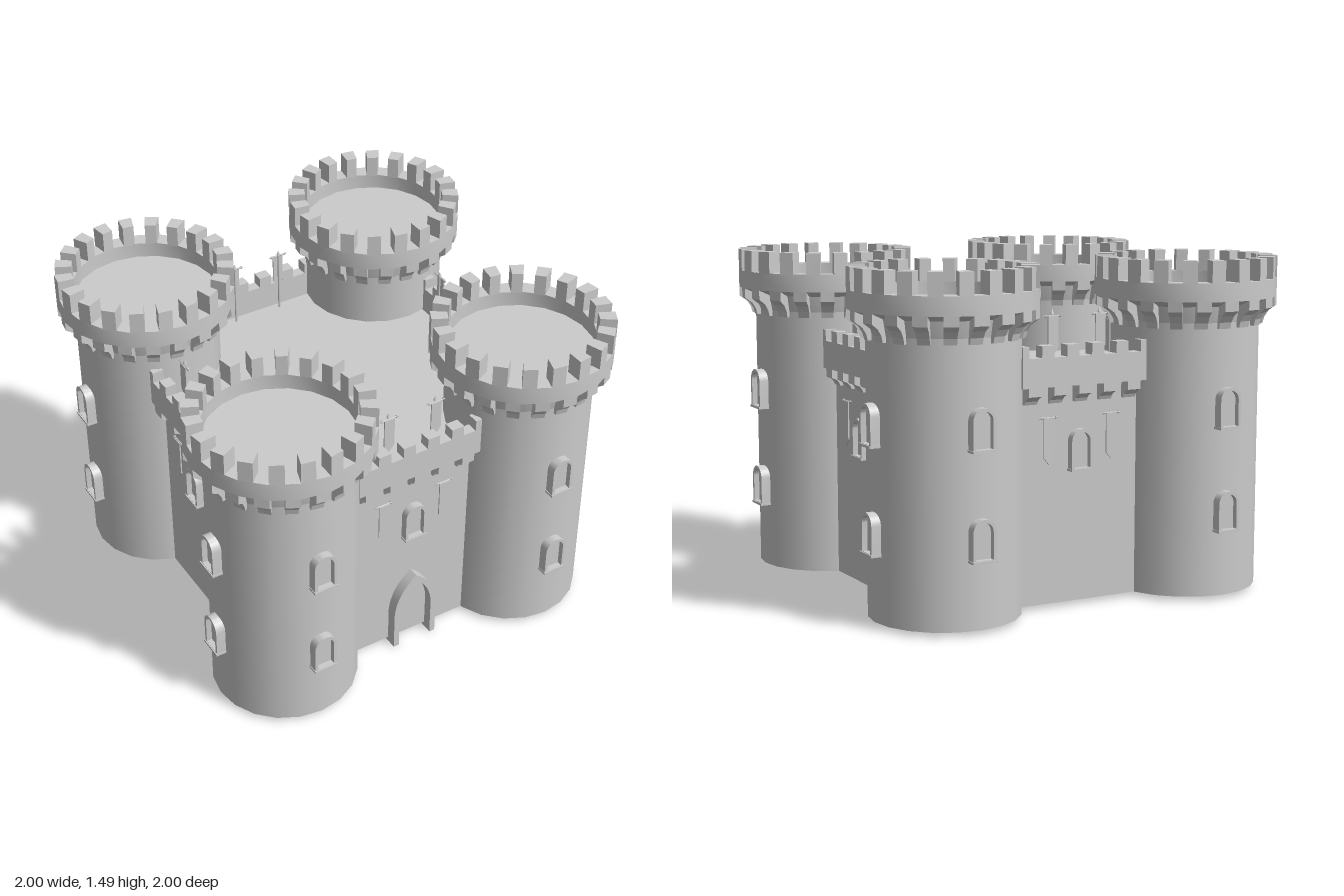
import * as THREE from 'three';
import { toCreasedNormals } from 'three/addons/utils/BufferGeometryUtils.js';

const stone = new THREE.MeshStandardMaterial({ color: 0xcccccc });
const thin = new THREE.MeshStandardMaterial({ color: 0xcccccc, side: THREE.DoubleSide });
const SIDES = 20, BASE = 0.02, TOWER_R = 0.325, RING_R = 0.4, WALL = 0.69;

function add(parent, name, geometry, x = 0, y = 0, z = 0, material = stone) {
  const mesh = new THREE.Mesh(geometry, material);
  mesh.name = name;
  mesh.position.set(x, y, z);
  parent.add(mesh);
  return mesh;
}
const box = (w, h, d) => new THREE.BoxGeometry(w, h, d);
const polygon = (pts) => new THREE.Shape(pts.map(([x, y]) => new THREE.Vector2(x, y)));
const extrude = (shape, depth) =>
  new THREE.ExtrudeGeometry(shape, { depth, bevelEnabled: false, curveSegments: 8 });

// Sweeps a (radius, height) profile over the part t0..t1 of one facet of the tower ring
function wedge(profile, facet, t0, t1) {
  const geo = extrude(polygon(profile), 1);
  const p = geo.attributes.position;
  const step = (Math.PI * 2) / SIDES, a = facet * step, b = a + step;
  for (let i = 0; i < p.count; i++) {
    const r = p.getX(i), t = t1 + (t0 - t1) * p.getZ(i);
    p.setXYZ(i,
      r * THREE.MathUtils.lerp(Math.sin(a), Math.sin(b), t),
      p.getY(i),
      r * THREE.MathUtils.lerp(Math.cos(a), Math.cos(b), t));
  }
  geo.computeVertexNormals();
  return geo;
}

// Round-headed opening outline standing on y = 0
function roundArch(Type, w, h, y0 = 0) {
  const s = new Type();
  s.moveTo(-w / 2, y0);
  s.lineTo(w / 2, y0);
  s.lineTo(w / 2, h - w / 2);
  s.absarc(0, h - w / 2, w / 2, 0, Math.PI, false);
  s.lineTo(-w / 2, y0);
  return s;
}

// Arched window: raised frame, recessed pane and sill, facing +z
function makeWindow() {
  const g = new THREE.Group();
  g.name = 'window';
  const outline = roundArch(THREE.Shape, 0.106, 0.18);
  outline.holes.push(roundArch(THREE.Path, 0.078, 0.166, 0.012));
  add(g, 'windowFrame', toCreasedNormals(extrude(outline, 0.06), 0.6), 0, 0, -0.025);
  add(g, 'windowPane', extrude(roundArch(THREE.Shape, 0.08, 0.168), 0.03), 0, 0, -0.02);
  add(g, 'windowSill', box(0.112, 0.01, 0.06), 0, 0.005, 0.01);
  return g;
}

// Narrow pennant with a pointed foot, hanging from a rod at y = 0
function makeBanner(length) {
  const g = new THREE.Group();
  g.name = 'banner';
  const w = 0.025;
  const cloth = polygon([[-w, 0], [-w, -length + 0.03], [0, -length], [w, -length + 0.03], [w, 0]].reverse());
  add(g, 'bannerCloth', extrude(cloth, 0.006), 0, 0, 0.002);
  const rod = new THREE.CylinderGeometry(0.004, 0.004, 0.08, 6).rotateZ(Math.PI / 2);
  add(g, 'bannerRod', rod);
  for (const s of [-1, 1]) {
    const tip = new THREE.ConeGeometry(0.007, 0.014, 6).rotateZ(-s * Math.PI / 2);
    add(g, 'rodTip', tip, s * 0.042, 0, 0);
  }
  return g;
}

// Round tower whose windows face +z and sideX
function makeTower(sideX) {
  const g = new THREE.Group();
  g.name = 'tower';
  const h = 1.32 - BASE;
  add(g, 'towerBody', new THREE.CylinderGeometry(TOWER_R, TOWER_R, h, SIDES, 1, true), 0, BASE + h / 2, 0, thin);
  add(g, 'towerRoof', new THREE.CircleGeometry(TOWER_R, SIDES).rotateX(-Math.PI / 2), 0, 1.32, 0, thin);

  // Parapet ring with its overhanging underside
  const ring = [[0.322, 1.2], [0.34, 1.285], [RING_R, 1.31], [RING_R, 1.39], [TOWER_R, 1.39], [TOWER_R, 1.3]];
  const ringGeo = new THREE.LatheGeometry(ring.map(([r, y]) => new THREE.Vector2(r, y)), SIDES);
  add(g, 'parapetRing', toCreasedNormals(ringGeo, 0.45), 0, 0, 0, thin);

  // Battlements above, curved corbels between them below
  const merlon = [[TOWER_R, 1.385], [RING_R, 1.385], [RING_R, 1.485], [TOWER_R, 1.485]];
  const corbel = [[0.315, 1.19], [0.342, 1.19], [0.349, 1.217], [0.367, 1.245], [RING_R, 1.268], [RING_R, 1.312], [0.315, 1.312]];
  for (let i = 0; i < SIDES; i++) {
    add(g, 'merlon', wedge(merlon, i, 0, 0.5));
    add(g, 'corbel', wedge(corbel, i, 0.5, 1));
  }

  for (const y of [0.305, 0.757]) {
    const front = makeWindow();
    front.position.set(0, y, TOWER_R);
    const side = makeWindow();
    side.position.set(sideX * TOWER_R, y, 0);
    side.rotation.y = sideX * Math.PI / 2;
    g.add(front, side);
  }
  return g;
}

// Dressing of one curtain wall, facing +z
function makeWallSide() {
  const g = new THREE.Group();
  g.name = 'wallSide';

  // Crenellated parapet: half merlons at the ends, four between
  const half = 0.305, period = 0.122, m = 0.03;
  const pts = [[-half, 0.965], [half, 0.965], [half, 1.14], [half - m, 1.14], [half - m, 1.09]];
  for (let i = 1; i <= 4; i++) {
    const c = half - i * period;
    pts.push([c + m, 1.09], [c + m, 1.14], [c - m, 1.14], [c - m, 1.09]);
  }
  pts.push([-half + m, 1.09], [-half + m, 1.14], [-half, 1.14]);
  add(g, 'parapet', extrude(polygon(pts), 0.053), 0, 0, 0.692);

  // Corbels under the parapet
  const profile = polygon([[0.68, 0.89], [0.703, 0.89], [0.71, 0.905], [0.723, 0.918], [0.745, 0.928], [0.745, 0.966], [0.68, 0.966]]);
  for (let i = -2; i <= 2; i++) {
    const geo = extrude(profile, 0.062).translate(0, 0, -0.031).rotateY(-Math.PI / 2);
    add(g, 'corbel', geo, i * period);
  }

  const window = makeWindow();
  window.position.set(0, 0.592, WALL);
  g.add(window);

  for (const s of [-1, 1]) {
    const hanging = makeBanner(0.2);
    hanging.position.set(s * 0.155, 0.828, WALL + 0.008);
    g.add(hanging);

    // Standard on the roof, just behind the parapet
    const standard = makeBanner(0.165);
    standard.position.set(s * 0.117, 1.255, 0.665);
    add(standard, 'pole', new THREE.CylinderGeometry(0.005, 0.005, 0.3, 6), 0, -0.138, -0.004);
    add(standard, 'finial', new THREE.ConeGeometry(0.009, 0.025, 6), 0, 0.02, -0.004);
    g.add(standard);
  }
  return g;
}

// Pointed arch outline for the door
function pointedArch(Type, w, spring, top, y0) {
  const s = new Type();
  s.moveTo(-w, y0);
  s.lineTo(w, y0);
  s.lineTo(w, spring);
  s.quadraticCurveTo(w * 0.92, spring + (top - spring) * 0.62, 0, top);
  s.quadraticCurveTo(-w * 0.92, spring + (top - spring) * 0.62, -w, spring);
  s.lineTo(-w, y0);
  return s;
}

export function createModel() {
  const model = new THREE.Group();
  model.name = 'castle';

  // Square keep between the towers
  const roof = 0.97;
  add(model, 'keep', box(WALL * 2, roof - BASE, WALL * 2), 0, (roof + BASE) / 2, 0);

  for (let i = 0; i < 4; i++) {
    const side = makeWallSide();
    side.rotation.y = i * Math.PI / 2;
    model.add(side);
  }

  // Corner towers, windows on their two outward sides
  for (const x of [-1, 1]) {
    for (const z of [-1, 1]) {
      const tower = makeTower(x * z);
      tower.position.set(x * 0.6, 0, z * 0.6);
      if (z < 0) tower.rotation.y = Math.PI;
      model.add(tower);
    }
  }

  // Door frame and door leaf
  const frame = pointedArch(THREE.Shape, 0.11, 0.19, 0.385, 0);
  const inner = pointedArch(THREE.Path, 0.083, 0.19, 0.355, 0);
  // Open foot: the frame outline runs up one side and down the other
  const o = frame.getPoints(8).slice(1, -1), n = inner.getPoints(8).slice(1, -1);
  const jamb = new THREE.Shape([...o, new THREE.Vector2(-0.11, 0), new THREE.Vector2(-0.083, 0), ...n.reverse(), ]);
  add(model, 'doorFrame', toCreasedNormals(extrude(jamb, 0.09), 0.5), 0, 0, 0.65);
  add(model, 'door', extrude(pointedArch(THREE.Shape, 0.085, 0.19, 0.357, 0.025), 0.02), 0, 0, 0.675);
  return model;
}
